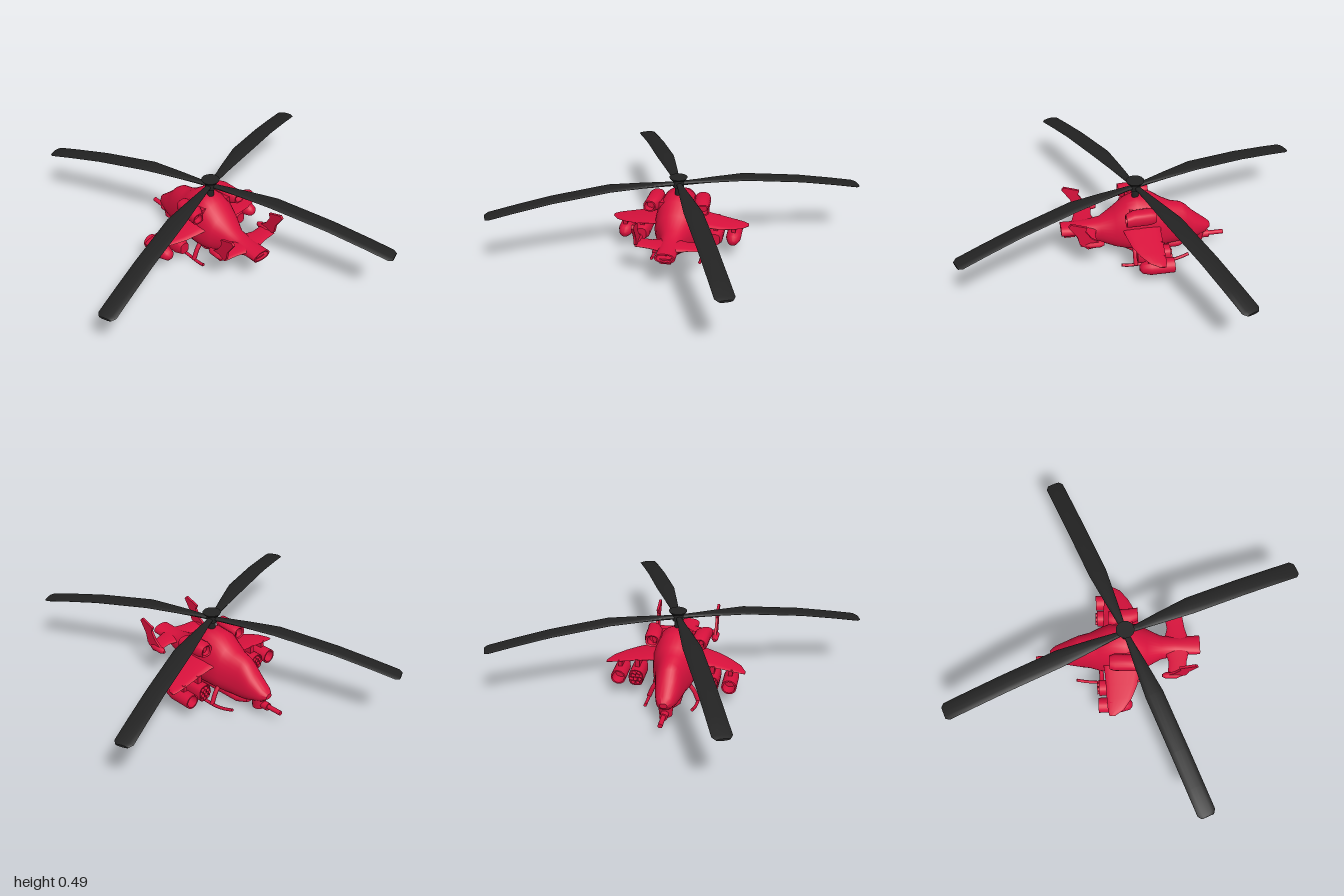
import * as THREE from 'three';
import { toCreasedNormals } from 'three/addons/utils/BufferGeometryUtils.js';

const red = new THREE.MeshStandardMaterial({ color: 0xd8113c, side: THREE.DoubleSide });
const black = new THREE.MeshStandardMaterial({ color: 0x222222, side: THREE.DoubleSide });

// Loft superellipse rings along z. Section: [z, centreX, centreY, halfWidth, heightUp, heightDown]
function loft(sections, sides = 24, power = 1) {
  const pos = [], idx = [];
  const bend = (v) => Math.sign(v) * Math.abs(v) ** power;
  for (const [z, cx, cy, w, up, down = up] of sections) {
    for (let j = 0; j < sides; j++) {
      const a = (j / sides) * Math.PI * 2;
      const s = bend(Math.sin(a));
      pos.push(cx + w * bend(Math.cos(a)), cy + s * (s > 0 ? up : down), z);
    }
  }
  const last = sections.length - 1;
  for (let i = 0; i < last; i++) {
    for (let j = 0; j < sides; j++) {
      const k = (j + 1) % sides, a = i * sides, b = a + sides;
      idx.push(a + j, a + k, b + k, a + j, b + k, b + j);
    }
  }
  // end caps
  for (const i of [0, last]) {
    const [z, cx, cy] = sections[i], centre = pos.length / 3;
    pos.push(cx, cy, z);
    for (let j = 0; j < sides; j++) {
      const a = i * sides + j, b = i * sides + ((j + 1) % sides);
      if (i === 0) idx.push(centre, b, a);
      else idx.push(centre, a, b);
    }
  }
  const g = new THREE.BufferGeometry();
  g.setAttribute('position', new THREE.Float32BufferAttribute(pos, 3));
  g.setIndex(idx);
  return toCreasedNormals(g, 0.75);
}

function add(parent, name, geometry, x = 0, y = 0, z = 0, material = red) {
  const m = new THREE.Mesh(geometry, material);
  m.name = name;
  m.position.set(x, y, z);
  parent.add(m);
  return m;
}

// Tube through points
function tube(points, radius, segments = 16) {
  const curve = new THREE.CatmullRomCurve3(points.map((p) => new THREE.Vector3(...p)));
  return new THREE.TubeGeometry(curve, segments, radius, 8);
}

// Lifting surface running out along x. Rib: [x, y, zFront, zBack, halfThickness]
function addWing(parent, name, ribs, side) {
  const sections = ribs.map(([x, y, f, b, t]) => [x, (-side * (f + b)) / 2, y, (b - f) / 2, t]);
  add(parent, name, loft(sections, 16)).rotation.y = (side * Math.PI) / 2;
}

// Cylinder lying along z
function rod(r, length, open = false) {
  return new THREE.CylinderGeometry(r, r, length, 16, 1, open).rotateX(Math.PI / 2);
}

export function createModel() {
  const model = new THREE.Group();
  model.name = 'helicopter';

  // Fuselage: nose at -z, hollow tail nozzle at +z. Rows: z, centre, halfWidth, top, bottom
  const hull = [
    [-0.43, 0.135, 0.02, 0.15, 0.12], [-0.4, 0.135, 0.045, 0.175, 0.095],
    [-0.33, 0.14, 0.065, 0.235, 0.07], [-0.29, 0.145, 0.073, 0.28, 0.06],
    [-0.26, 0.15, 0.08, 0.302, 0.057], [-0.2, 0.16, 0.092, 0.315, 0.055],
    [-0.15, 0.17, 0.112, 0.34, 0.055], [-0.09, 0.18, 0.125, 0.385, 0.058],
    [0, 0.18, 0.13, 0.39, 0.06], [0.06, 0.18, 0.125, 0.365, 0.065],
    [0.12, 0.18, 0.105, 0.31, 0.078], [0.2, 0.185, 0.065, 0.255, 0.105],
    [0.28, 0.195, 0.055, 0.24, 0.145], [0.34, 0.203, 0.053, 0.235, 0.17],
    [0.42, 0.207, 0.055, 0.235, 0.18], [0.42, 0.207, 0.045, 0.228, 0.187],
    [0.37, 0.207, 0.04, 0.225, 0.19],
  ].map(([z, c, w, t, b]) => [z, 0, c, w, t - c, c - b]);
  add(model, 'fuselage', loft(hull, 32, 0.9));
  add(model, 'ventralFin', new THREE.BoxGeometry(0.06, 0.03, 0.06), 0, 0.182, 0.375);

  // Chin turret and gun
  add(model, 'gunTurret', new THREE.CylinderGeometry(0.042, 0.035, 0.07, 16), 0, 0.075, -0.36);
  add(model, 'gunMount', rod(0.022, 0.08), 0, 0.065, -0.39);
  add(model, 'gunBarrel', rod(0.013, 0.12), 0, 0.067, -0.456);
  add(model, 'bellyPan', loft([
    [-0.3, 0, 0.06, 0.035, 0.02], [-0.24, 0, 0.055, 0.06, 0.03],
    [0.02, 0, 0.055, 0.06, 0.03], [0.08, 0, 0.075, 0.035, 0.02],
  ], 16, 0.7));

  for (const s of [1, -1]) {
    const half = new THREE.Group();
    half.name = s > 0 ? 'leftSide' : 'rightSide';
    model.add(half);

    // Engine housing with recessed intake and exhaust
    add(half, 'engine', loft([
      [-0.05, s * 0.13, 0.33, 0.02, 0.02], [-0.085, s * 0.13, 0.33, 0.026, 0.026],
      [-0.09, s * 0.13, 0.33, 0.036, 0.034], [-0.06, s * 0.13, 0.33, 0.045, 0.042],
      [0.03, s * 0.135, 0.33, 0.043, 0.042], [0.075, s * 0.15, 0.33, 0.034, 0.032],
      [0.075, s * 0.15, 0.33, 0.026, 0.025], [0.045, s * 0.145, 0.33, 0.022, 0.02],
    ], 16, 0.75));
    add(half, 'engineFairing', new THREE.BoxGeometry(0.08, 0.05, 0.11), s * 0.09, 0.32, -0.01);

    // Stub wing
    addWing(half, 'wing', [
      [0.08, 0.238, -0.13, 0.09, 0.022], [0.14, 0.228, -0.12, 0.08, 0.016],
      [0.23, 0.212, -0.115, 0.058, 0.012], [0.3, 0.199, -0.112, 0.025, 0.009],
      [0.36, 0.188, -0.108, -0.02, 0.007], [0.39, 0.18, -0.1, -0.07, 0.004],
    ], s);

    // Inner rocket pod with a cluster of launch tubes
    add(half, 'rocketPod', loft([
      [-0.14, s * 0.21, 0.127, 0.036, 0.043], [-0.155, s * 0.21, 0.127, 0.036, 0.043],
      [-0.155, s * 0.21, 0.127, 0.041, 0.048], [-0.02, s * 0.21, 0.127, 0.041, 0.048],
      [0.025, s * 0.21, 0.127, 0.028, 0.034],
    ], 16, 0.7));
    for (let i = 0; i < 7; i++) {
      const a = (i * Math.PI) / 3, r = i < 6 ? 0.025 : 0;
      add(half, 'launchTube', rod(0.011, 0.03, true),
        s * 0.21 + r * Math.cos(a), 0.127 + r * Math.sin(a), -0.15);
    }
    add(half, 'innerPylon', new THREE.BoxGeometry(0.025, 0.06, 0.11), s * 0.21, 0.19, -0.06);

    // Outer pod with an open mouth
    add(half, 'outerPod', loft([
      [-0.1, s * 0.31, 0.123, 0.03, 0.03], [-0.16, s * 0.31, 0.123, 0.034, 0.034],
      [-0.16, s * 0.31, 0.123, 0.042, 0.042], [-0.03, s * 0.31, 0.123, 0.042, 0.042],
      [0.015, s * 0.31, 0.123, 0.03, 0.03], [0.03, s * 0.31, 0.123, 0.012, 0.012],
    ], 20));
    add(half, 'outerPylon', new THREE.BoxGeometry(0.022, 0.05, 0.09), s * 0.31, 0.177, -0.06);

    // Tailplane and swept end fin
    addWing(half, 'tailplane', [
      [0.03, 0.215, 0.22, 0.36, 0.016], [0.1, 0.215, 0.24, 0.34, 0.01],
      [0.18, 0.215, 0.23, 0.33, 0.008],
    ], s);
    const fin = new THREE.Shape([
      [0.2, 0.205], [0.29, 0.19], [0.335, 0.23], [0.345, 0.28], [0.39, 0.35],
      [0.375, 0.365], [0.29, 0.335], [0.3, 0.31], [0.27, 0.26],
    ].map(([z, y]) => new THREE.Vector2(-z, y)));
    const finGeo = new THREE.ExtrudeGeometry(fin, { depth: 0.014, bevelEnabled: false });
    add(half, 'tailFin', finGeo, s * 0.175 - 0.007).rotation.y = Math.PI / 2;
    add(half, 'finPod', loft([
      [0.2, s * 0.177, 0.215, 0.008, 0.008], [0.22, s * 0.177, 0.215, 0.019, 0.018],
      [0.28, s * 0.177, 0.215, 0.019, 0.018], [0.31, s * 0.177, 0.215, 0.006, 0.006],
    ], 12));

    // Landing skid and struts
    add(half, 'skid', tube([
      [s * 0.138, 0.016, 0.1], [s * 0.138, 0.009, 0.07], [s * 0.138, 0.009, -0.06],
      [s * 0.138, 0.009, -0.17], [s * 0.135, 0.02, -0.23], [s * 0.13, 0.037, -0.285],
    ], 0.009, 32));
    for (const z of [0.02, -0.14]) {
      add(half, 'skidStrut', tube([
        [s * 0.08, 0.12, z], [s * 0.115, 0.07, z], [s * 0.14, 0.008, z],
      ], 0.013));
    }
  }

  // Rotor hub
  const rotor = new THREE.Group();
  rotor.name = 'mainRotor';
  model.add(rotor);
  add(rotor, 'mast', new THREE.CylinderGeometry(0.018, 0.02, 0.12, 16), 0, 0.42, 0, black);
  add(rotor, 'hub', new THREE.CylinderGeometry(0.03, 0.03, 0.04, 16), 0, 0.448, 0, black);
  add(rotor, 'hubCap', new THREE.CylinderGeometry(0.05, 0.042, 0.012, 20), 0, 0.479, 0, black);

  // Four drooping blades. Rows: radius, y, halfWidth, halfThickness
  const blade = [
    [0.01, 0.447, 0.014, 0.012], [0.08, 0.449, 0.02, 0.012], [0.2, 0.452, 0.033, 0.01],
    [0.38, 0.452, 0.05, 0.01], [0.7, 0.413, 0.05, 0.01], [0.9, 0.377, 0.05, 0.009],
    [1.035, 0.35, 0.05, 0.009], [1.055, 0.345, 0.034, 0.006],
  ].map(([r, y, w, t]) => [r, 0, y, w, t]);
  const bladeGeo = loft(blade, 12);
  for (let i = 0; i < 4; i++) {
    add(rotor, 'rotorBlade', bladeGeo, 0, 0, 0, black).rotation.y = 0.375 + (i * Math.PI) / 2;
  }
  return model;
}
